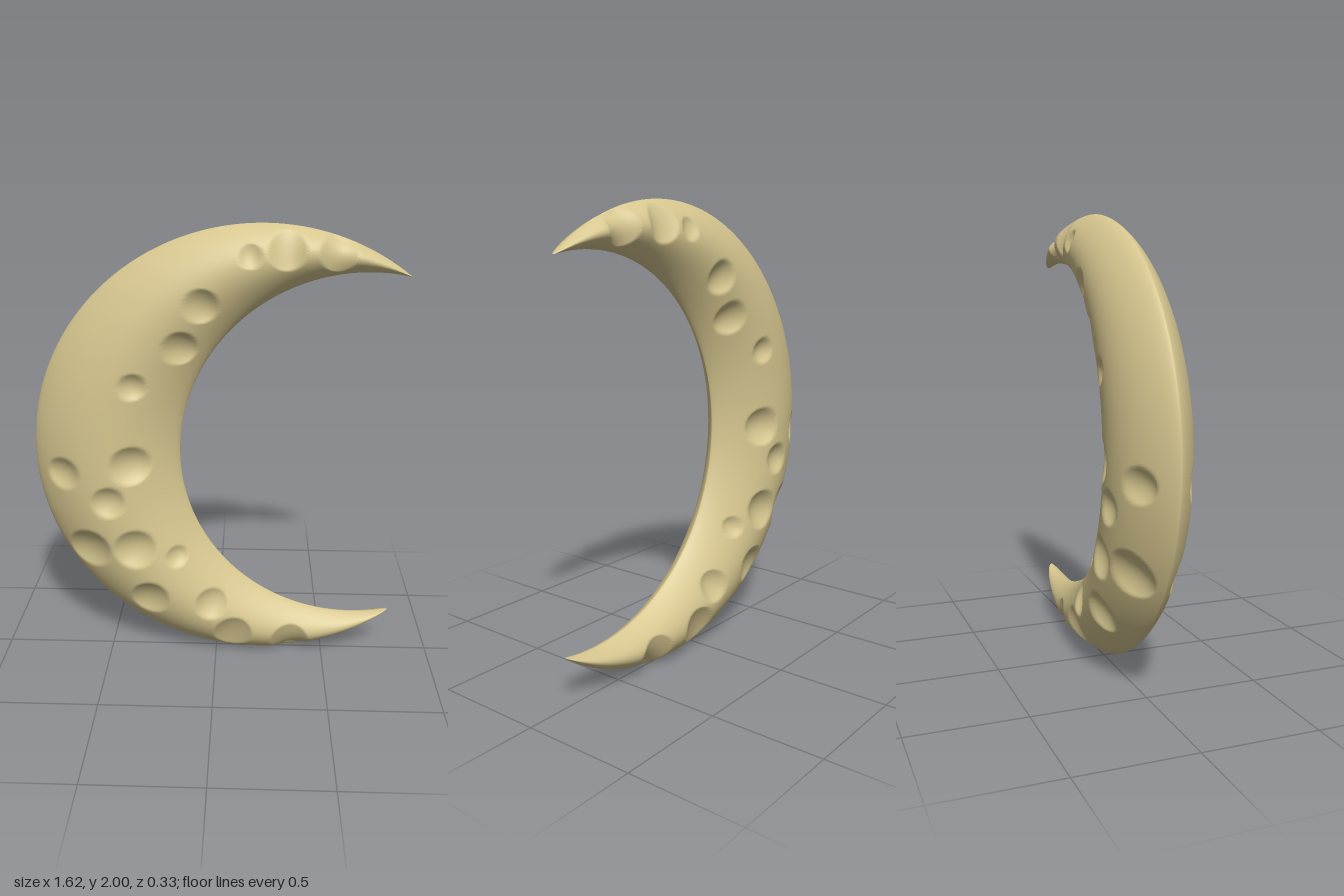
import * as THREE from 'three';

const paleGold = new THREE.MeshStandardMaterial({ color: 0xd6c68f });
paleGold.name = 'paleGold';

// Craters, pressed into both faces: x, y, radius
const craters = [
  [0.14, 1.88, 0.05], [0.29, 1.9, 0.08], [0.5, 1.89, 0.08], [-0.06, 1.68, 0.075],
  [-0.15, 1.5, 0.075], [-0.35, 1.34, 0.06], [-0.37, 0.98, 0.09], [-0.67, 0.93, 0.075],
  [-0.47, 0.81, 0.075], [-0.57, 0.56, 0.1], [-0.36, 0.58, 0.095], [-0.175, 0.53, 0.05],
  [-0.3, 0.32, 0.09], [-0.02, 0.29, 0.075], [0.08, 0.13, 0.09], [0.345, 0.08, 0.09],
];

// The two arcs that bound the crescent and meet at its tips
const outer = { x: 0.19, r: 1, start: 0.906 };
const inner = { x: 0.64, r: 0.802, start: 1.364 };

function arcPoint(arc, u) {
  const a = THREE.MathUtils.lerp(arc.start, 2 * Math.PI - arc.start, u);
  return new THREE.Vector2(arc.x + arc.r * Math.cos(a), 1 + arc.r * Math.sin(a));
}

function craterDepth(x, y) {
  let depth = 0;
  for (const [cx, cy, r] of craters) {
    const d = ((x - cx) ** 2 + (y - cy) ** 2) / (r * r);
    if (d < 1) depth = Math.max(depth, 0.42 * r * (1 - d));
  }
  return depth;
}

// Lens-shaped rings swept from the top tip to the bottom tip
function crescentGeometry(rings, sides) {
  const positions = [], indices = [];
  for (let i = 0; i <= rings; i++) {
    const a = arcPoint(outer, i / rings), b = arcPoint(inner, i / rings);
    const halfDepth = 0.165 * Math.pow(a.distanceTo(b) / 0.648, 0.6);
    for (let j = 0; j < sides; j++) {
      const v = (2 * Math.PI * j) / sides;
      const t = (1 - Math.cos(v)) / 2;
      const p = a.clone().lerp(b, t);
      const full = halfDepth * Math.pow(Math.max(0, Math.sin(Math.PI * t)), 0.75);
      const z = Math.max(full - craterDepth(p.x, p.y), full * 0.4);
      positions.push(p.x, p.y, v < Math.PI ? z : -z);
      if (i < rings) {
        const k = i * sides + j, n = i * sides + ((j + 1) % sides);
        indices.push(k, k + sides, n, n, k + sides, n + sides);
      }
    }
  }
  const geometry = new THREE.BufferGeometry();
  geometry.setAttribute('position', new THREE.Float32BufferAttribute(positions, 3));
  geometry.setIndex(indices);
  geometry.computeVertexNormals();
  return geometry;
}

export function createModel() {
  const group = new THREE.Group();
  group.name = 'crescentMoon';
  const body = new THREE.Mesh(crescentGeometry(400, 144), paleGold);
  body.name = 'crateredCrescent';
  group.add(body);
  return group;
}
